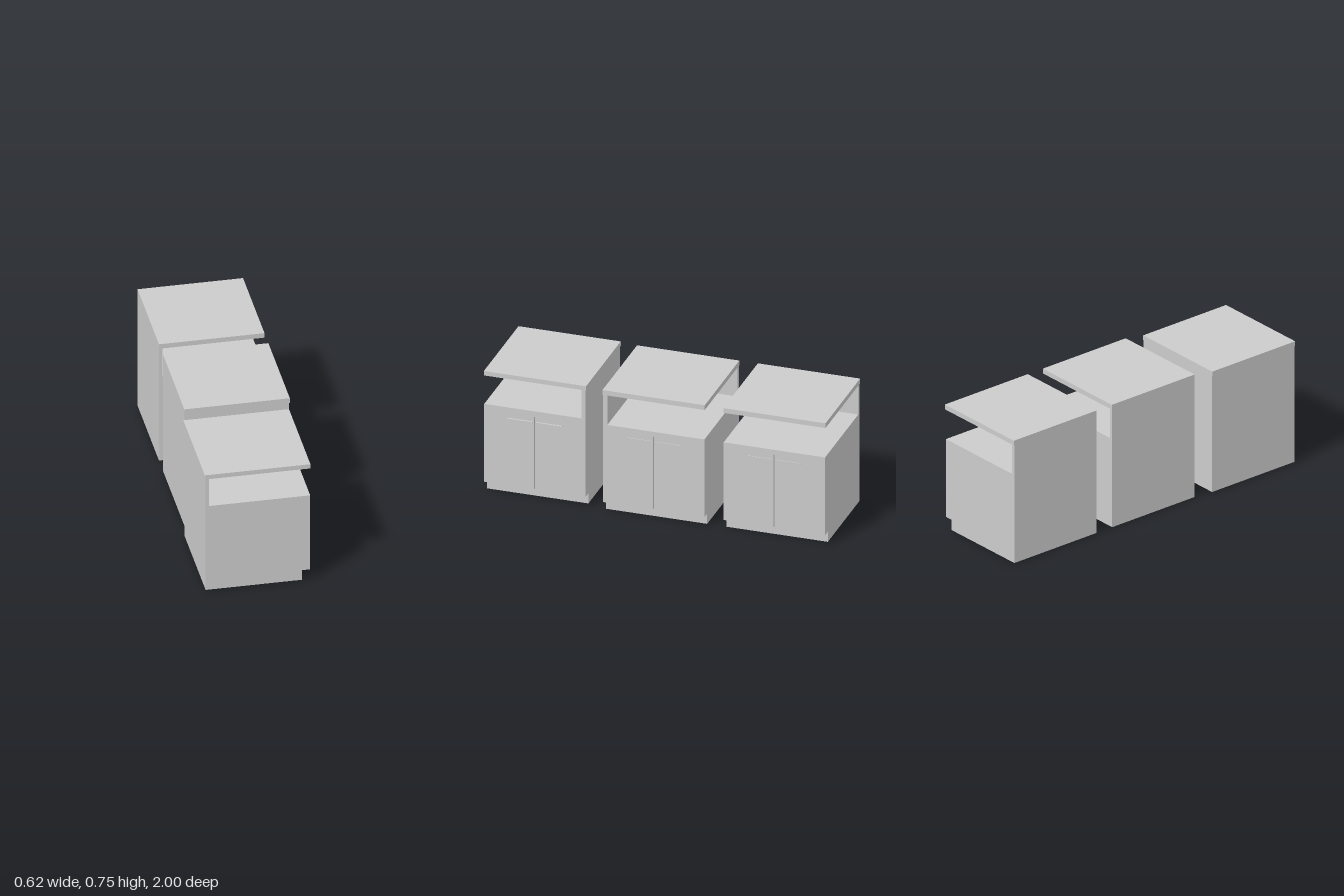
import * as THREE from 'three';

const material = new THREE.MeshStandardMaterial({ color: 0xcccccc, flatShading: true });

function addMesh(group, name, geometry) {
  const mesh = new THREE.Mesh(geometry, material);
  mesh.name = name;
  group.add(mesh);
  return mesh;
}

// Box given by its minimum and maximum corners
function addBox(group, name, [x0, y0, z0], [x1, y1, z1]) {
  const mesh = addMesh(group, name, new THREE.BoxGeometry(x1 - x0, y1 - y0, z1 - z0));
  mesh.position.set((x0 + x1) / 2, (y0 + y1) / 2, (z0 + z1) / 2);
  return mesh;
}

function extrude(points, depth) {
  const shape = new THREE.Shape(points.map(([x, y]) => new THREE.Vector2(x, y)));
  return new THREE.ExtrudeGeometry(shape, { depth, bevelEnabled: false });
}

const DOOR = 0.018; // door thickness
const WALL = 0.025; // niche side wall thickness
const GAP = 0.005;  // half width of the slit between the doors

// One cabinet, doors facing +x; wallSide is +1, -1 or 0 for the closed side of the niche
function createCabinet(c) {
  const g = new THREE.Group();
  g.name = c.name;
  const [z0, z1] = c.z;
  const width = z1 - z0;
  const mid = (z0 + z1) / 2;
  const inner = c.front - DOOR;
  const panel = c.back + 0.02;

  // Carcass profile: toe kick, niche floor and back panel, swept along z
  const carcass = addMesh(g, 'carcass', extrude([
    [c.back, c.base], [c.kick, c.base], [c.kick, c.kickTop], [inner, c.kickTop],
    [inner, c.floor], [panel, c.floor], [panel, c.under], [c.back, c.under],
  ], width));
  carcass.position.z = z0;

  // Front panel with the slit that separates the two doors
  const h = width / 2;
  const doors = addMesh(g, 'doors', extrude([
    [-h, c.kickTop], [-GAP, c.kickTop], [-GAP, 0.51], [GAP, 0.51],
    [GAP, c.kickTop], [h, c.kickTop], [h, c.floor], [-h, c.floor],
  ], DOOR));
  doors.rotation.y = Math.PI / 2;
  doors.position.set(inner, 0, mid);

  // Side wall of the open niche
  if (c.wallSide) {
    const a = c.wallSide > 0 ? z1 - WALL : z0;
    addBox(g, 'nicheWall', [panel, c.floor, a], [c.front, c.under, a + WALL]);
  }

  // Countertop
  addBox(g, 'countertop', [c.topX[0], c.under, c.topZ[0]], [c.topX[1], c.top, c.topZ[1]]);

  // A bar handle on each door
  for (const s of [-1, 1]) {
    const a = mid + s * 0.01, b = mid + s * 0.16;
    addBox(g, 'handle', [c.front, 0.475, Math.min(a, b)],
      [c.front + c.handle, 0.482, Math.max(a, b)]);
  }
  return g;
}

export function createModel() {
  const model = new THREE.Group();
  model.name = 'counterCabinets';

  const shared = {
    back: -0.285, front: 0.305, kick: 0.258, kickTop: 0.063, base: 0,
    floor: 0.54, under: 0.723, top: 0.752, topX: [-0.285, 0.309], handle: 0.004,
  };
  const cabinets = [
    {
      name: 'frontCabinet', z: [0.407, 0.998], topZ: [0.404, 1], wallSide: -1,
      back: -0.307, front: 0.282, kick: 0.236, kickTop: 0.067, base: 0.005,
      floor: 0.545, under: 0.72, top: 0.747, topX: [-0.312, 0.283], handle: 0.01,
    },
    { ...shared, name: 'middleCabinet', z: [-0.293, 0.298], topZ: [-0.296, 0.3], wallSide: 1 },
    { ...shared, name: 'rearCabinet', z: [-0.996, -0.405], topZ: [-1, -0.404], wallSide: 0 },
  ];
  for (const c of cabinets) model.add(createCabinet(c));
  return model;
}
